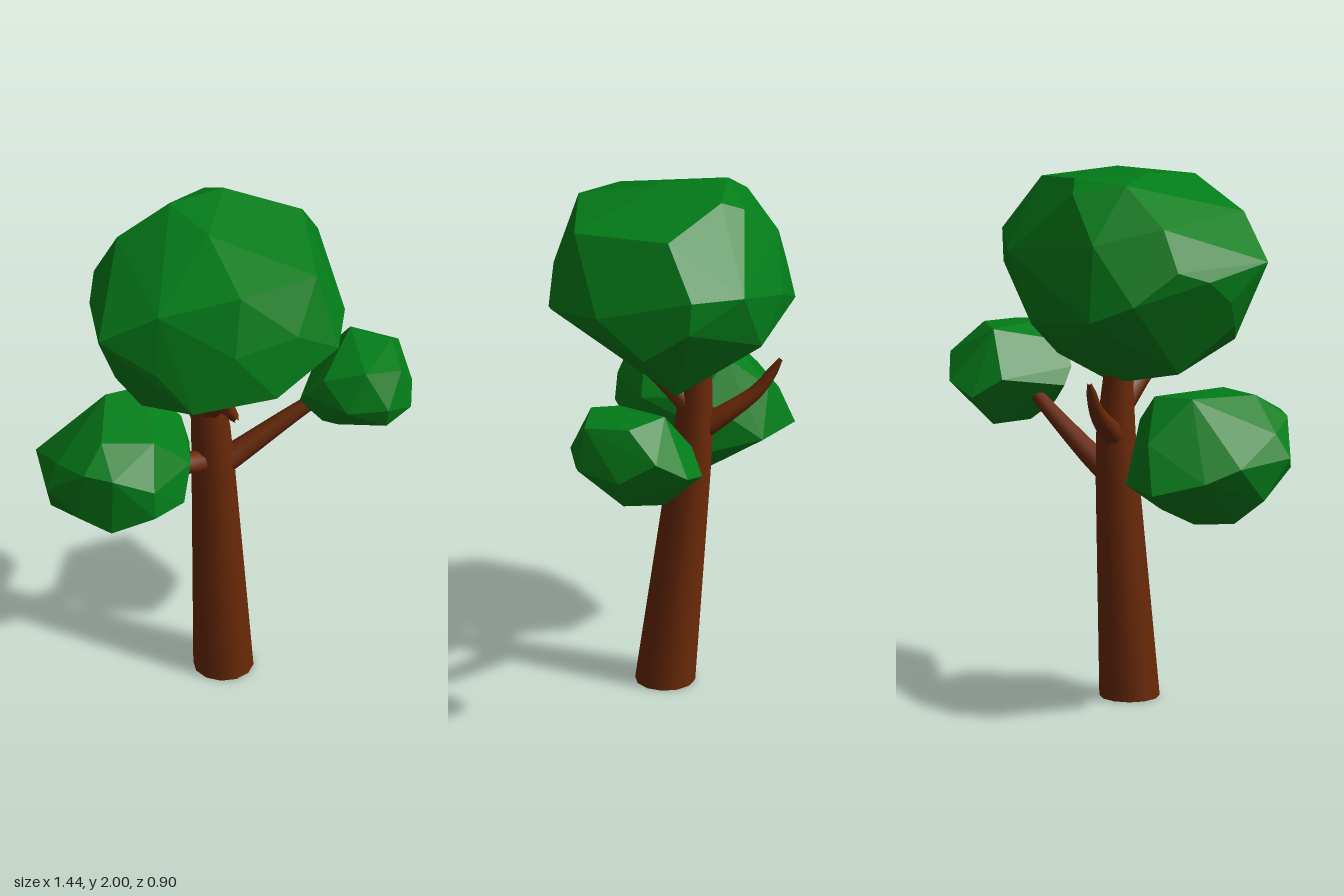
import * as THREE from 'three';
import { ConvexGeometry } from 'three/addons/geometries/ConvexGeometry.js';

const bark = new THREE.MeshStandardMaterial({ color: 0x6c2a08 });
bark.name = 'bark brown';
const leaf = new THREE.MeshStandardMaterial({ color: 0x037d19, flatShading: true });
leaf.name = 'leaf green';

const vec = ([x, y, z]) => new THREE.Vector3(x, y, z);

// Faceted leaf mass wrapped around its corner points
function crown(name, corners) {
  const mesh = new THREE.Mesh(new ConvexGeometry(corners.map(vec)), leaf);
  mesh.name = name;
  return mesh;
}

// Round limb whose radius shrinks along a curve
function limb(name, points, r0, r1) {
  const curve = new THREE.CatmullRomCurve3(points.map(vec));
  const rings = 8, sides = 8;
  const geo = new THREE.TubeGeometry(curve, rings, 1, sides, false);
  const pos = geo.attributes.position, v = new THREE.Vector3();
  for (let i = 0; i <= rings; i++) {
    const centre = curve.getPointAt(i / rings);
    const r = i === rings ? r1 * 0.5 : THREE.MathUtils.lerp(r0, r1, i / rings);
    for (let j = 0; j <= sides; j++) {
      const k = i * (sides + 1) + j;
      v.fromBufferAttribute(pos, k).sub(centre).multiplyScalar(r).add(centre);
      pos.setXYZ(k, v.x, v.y, v.z);
    }
  }
  const mesh = new THREE.Mesh(geo, bark);
  mesh.name = name;
  return mesh;
}

// Leaning trunk: stacked level rings, each [y, x, z, radius]
function trunk() {
  const rings = [[0, -0.015, 0.02, 0.111], [0.85, -0.015, -0.068, 0.08],
    [1.03, -0.018, -0.084, 0.072], [1.3, -0.04, -0.1, 0.05]];
  const geo = new THREE.CylinderGeometry(1, 1, 3, 12, 3);
  const pos = geo.attributes.position;
  for (let i = 0; i < pos.count; i++) {
    const [y, x, z, r] = rings[Math.round(pos.getY(i) + 1.5)];
    pos.setXYZ(i, x + pos.getX(i) * r, y, z + pos.getZ(i) * r);
  }
  const mesh = new THREE.Mesh(geo, bark);
  mesh.name = 'trunk';
  return mesh;
}

export function createModel() {
  const tree = new THREE.Group();
  tree.name = 'tree';

  tree.add(
    trunk(),
    limb('leftBranch', [[0.0, 0.85, -0.06], [0.06, 0.88, -0.055], [0.33, 1.06, 0], [0.42, 1.12, 0.03]], 0.05, 0.022),
    limb('rightBranch', [[-0.02, 0.88, -0.07], [-0.17, 0.93, -0.03], [-0.3, 0.98, -0.04]], 0.045, 0.035),
    limb('frontBranch', [[-0.025, 1.13, -0.07], [-0.055, 1.24, 0.06], [-0.09, 1.325, 0.2], [-0.13, 1.39, 0.38]], 0.056, 0.015),
    limb('backBranch', [[-0.02, 1.0, -0.08], [-0.04, 1.08, -0.2], [-0.07, 1.17, -0.32], [-0.09, 1.29, -0.4]], 0.05, 0.015),
  );

  tree.add(crown('topCrown', [
    // front
    [0.27, 1.62, 0.41], [0, 1.5, 0.45], [-0.3, 1.46, 0.36], [0.22, 1.91, 0.33], [-0.1, 1.92, 0.35],
    [0.1, 1.73, 0.42], [-0.15, 1.7, 0.41], [-0.38, 1.84, 0.23], [-0.4, 1.6, 0.26], [-0.56, 1.7, 0.1],
    // left and right sides
    [0.33, 1.94, -0.03], [0.44, 1.75, -0.13], [0.44, 1.62, -0.12], [0.43, 1.5, 0.05], [0.38, 1.64, 0.23],
    [-0.49, 1.57, -0.05], [-0.46, 1.46, 0.03], [-0.47, 1.67, -0.17],
    // underside
    [0.25, 1.28, -0.05], [0, 1.22, -0.1], [-0.1, 1.24, -0.14], [-0.3, 1.285, -0.11], [-0.4, 1.38, 0.13],
    // back
    [-0.12, 1.53, -0.45], [0.05, 1.62, -0.42], [0.18, 1.47, -0.36], [0.31, 1.72, -0.31],
    [-0.28, 1.6, -0.4], [-0.4, 1.72, -0.28], [-0.1, 1.81, -0.39], [0.05, 1.4, -0.34],
    // top
    [-0.13, 2, -0.2], [0.09, 2, -0.2], [-0.08, 1.99, 0.03], [0.05, 1.96, -0.28], [-0.32, 1.87, -0.25],
  ]));

  tree.add(crown('leftCrown', [
    [0.46, 1.32, 0.24], [0.53, 1.33, -0.04], [0.64, 1.32, 0.08], [0.6, 1.3, 0.25],
    [0.72, 1.22, -0.03], [0.71, 1.13, 0.11], [0.64, 1.01, 0.1], [0.63, 1.14, 0.27],
    [0.53, 0.97, -0.04], [0.43, 0.98, 0.06], [0.52, 1.1, 0.29], [0.52, 1.18, 0.31],
    [0.38, 1.17, 0.25], [0.35, 1.05, 0.1], [0.28, 1.13, 0.05], [0.28, 1.19, 0.1],
    [0.33, 1.27, 0.15], [0.44, 1.17, -0.13], [0.54, 1.1, -0.18], [0.66, 1.14, -0.14],
  ]));

  tree.add(crown('rightCrown', [
    [-0.24, 1.21, -0.18], [-0.4, 1.22, -0.18], [-0.53, 1.2, 0.06], [-0.35, 1.19, 0.13],
    [-0.67, 1.09, -0.03], [-0.63, 1.12, 0.12], [-0.72, 1, -0.01], [-0.65, 0.93, 0.11], [-0.66, 0.85, -0.1],
    [-0.55, 1.12, 0.2], [-0.55, 0.88, 0.19], [-0.4, 0.94, 0.25], [-0.4, 1.05, 0.24],
    [-0.25, 0.92, 0.18], [-0.55, 0.755, -0.13], [-0.38, 0.73, -0.13], [-0.22, 0.76, -0.1],
    [-0.14, 0.86, -0.1], [-0.12, 1, -0.05], [-0.13, 1.09, -0.1], [-0.2, 1.05, 0.13],
    [-0.37, 0.9, -0.42], [-0.55, 0.95, -0.34], [-0.65, 1, -0.25], [-0.3, 1.07, -0.33], [-0.2, 0.9, -0.32],
  ]));

  return tree;
}
